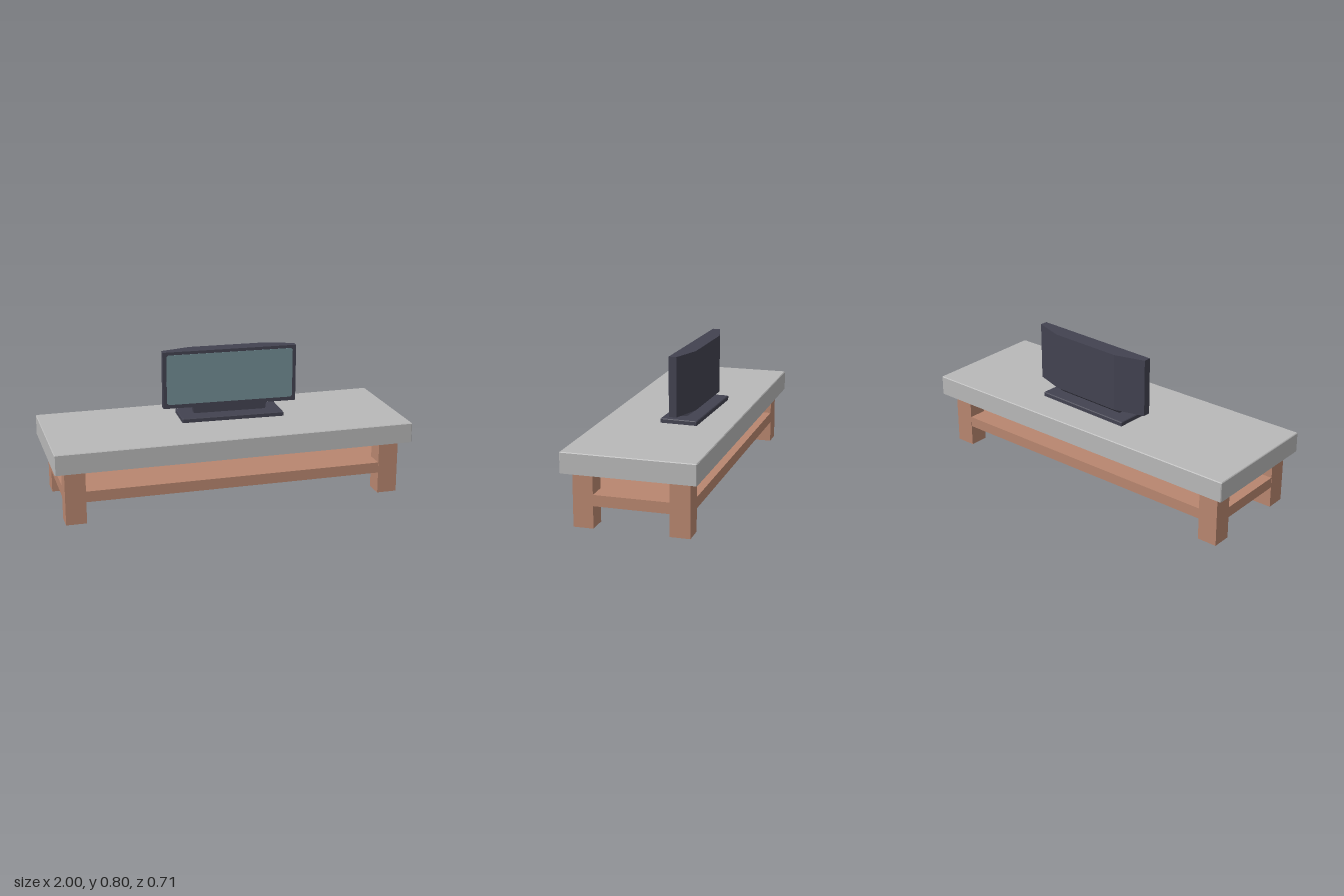
import * as THREE from 'three';

const mat = (name, color) => Object.assign(new THREE.MeshStandardMaterial({ color }), { name });

// Stack convex rings [y, [[x, z], ...]] (counterclockwise from above) into a closed, faceted solid
function loft(rings) {
  const pos = [];
  const put = (y, p) => pos.push(p[0], y, p[1]);
  for (let r = 0; r < rings.length - 1; r++) {
    const [y0, lo] = rings[r], [y1, hi] = rings[r + 1];
    lo.forEach((p, i) => {
      const j = (i + 1) % lo.length;
      put(y0, p); put(y0, lo[j]); put(y1, hi[j]);
      put(y0, p); put(y1, hi[j]); put(y1, hi[i]);
    });
  }
  const [yb, b] = rings[0], [yt, t] = rings[rings.length - 1];
  for (let i = 1; i < b.length - 1; i++) {
    put(yb, b[0]); put(yb, b[i + 1]); put(yb, b[i]);
    put(yt, t[0]); put(yt, t[i]); put(yt, t[i + 1]);
  }
  const geo = new THREE.BufferGeometry();
  geo.setAttribute('position', new THREE.Float32BufferAttribute(pos, 3));
  geo.computeVertexNormals();
  return geo;
}

// Rectangle with half sizes w, d and corners cut by c
const cutRect = (w, d, c) => [
  [-w + c, d], [w - c, d], [w, d - c], [w, -d + c],
  [w - c, -d], [-w + c, -d], [-w, -d + c], [-w, d - c],
];

// Slab with chamfered upright and top edges
const slab = (w, d, y0, y1, c) => loft([
  [y0, cutRect(w, d, c)], [y1 - c, cutRect(w, d, c)], [y1, cutRect(w - c, d - c, c)],
]);

export function createModel() {
  const grey = mat('grey top', 0xb8b8b8);
  const wood = mat('brown wood', 0xb8866f);
  const dark = mat('dark casing', 0x424250);
  const glass = mat('teal glass', 0x718b93);

  const model = new THREE.Group();
  const add = (parent, name, geo, material, x = 0, y = 0, z = 0) => {
    const mesh = new THREE.Mesh(geo, material);
    mesh.name = name;
    mesh.position.set(x, y, z);
    parent.add(mesh);
    return mesh;
  };

  // Table
  const table = new THREE.Group();
  table.name = 'table';
  model.add(table);
  add(table, 'tableTop', slab(0.999, 0.356, 0.3, 0.412, 0.004), grey);
  for (const sx of [-1, 1]) for (const sz of [-1, 1]) {
    const name = (sz > 0 ? 'front' : 'back') + (sx > 0 ? 'Left' : 'Right') + 'Leg';
    add(table, name, new THREE.BoxGeometry(0.112, 0.3, 0.108), wood, -0.005 + sx * 0.884, 0.15, 0.004 + sz * 0.255);
  }
  add(table, 'shelf', new THREE.BoxGeometry(1.877, 0.06, 0.615), wood, -0.005, 0.15, 0.004);

  // Television, turned slightly on the table
  const tv = new THREE.Group();
  tv.name = 'television';
  tv.position.set(0.063, 0, -0.077);
  tv.rotation.y = -0.037;
  model.add(tv);
  add(tv, 'standBase', slab(0.292, 0.103, 0.411, 0.436, 0.004), dark);

  // Neck, sloping forward to the base at the back
  const neckRing = (w, back) => [[-w, 0.014], [w, 0.014], [w, back], [-w, back]];
  add(tv, 'neck', loft([[0.434, neckRing(0.207, -0.018)], [0.476, neckRing(0.213, -0.072)]]), dark);

  // Casing with a back that tapers to the sides
  const casing = [[-0.383, 0.021], [0.383, 0.021], [0.383, -0.021], [0.213, -0.072], [-0.213, -0.072], [-0.383, -0.021]];
  add(tv, 'casing', loft([[0.475, casing], [0.8, casing]]), dark);

  // Thin screen with cut corners
  const outline = new THREE.Shape(cutRect(0.363, 0.143, 0.01).map(([x, y]) => new THREE.Vector2(x, y)));
  add(tv, 'screen', new THREE.ExtrudeGeometry(outline, { depth: 0.003, bevelEnabled: false }), glass, 0, 0.64, 0.02);

  return model;
}
